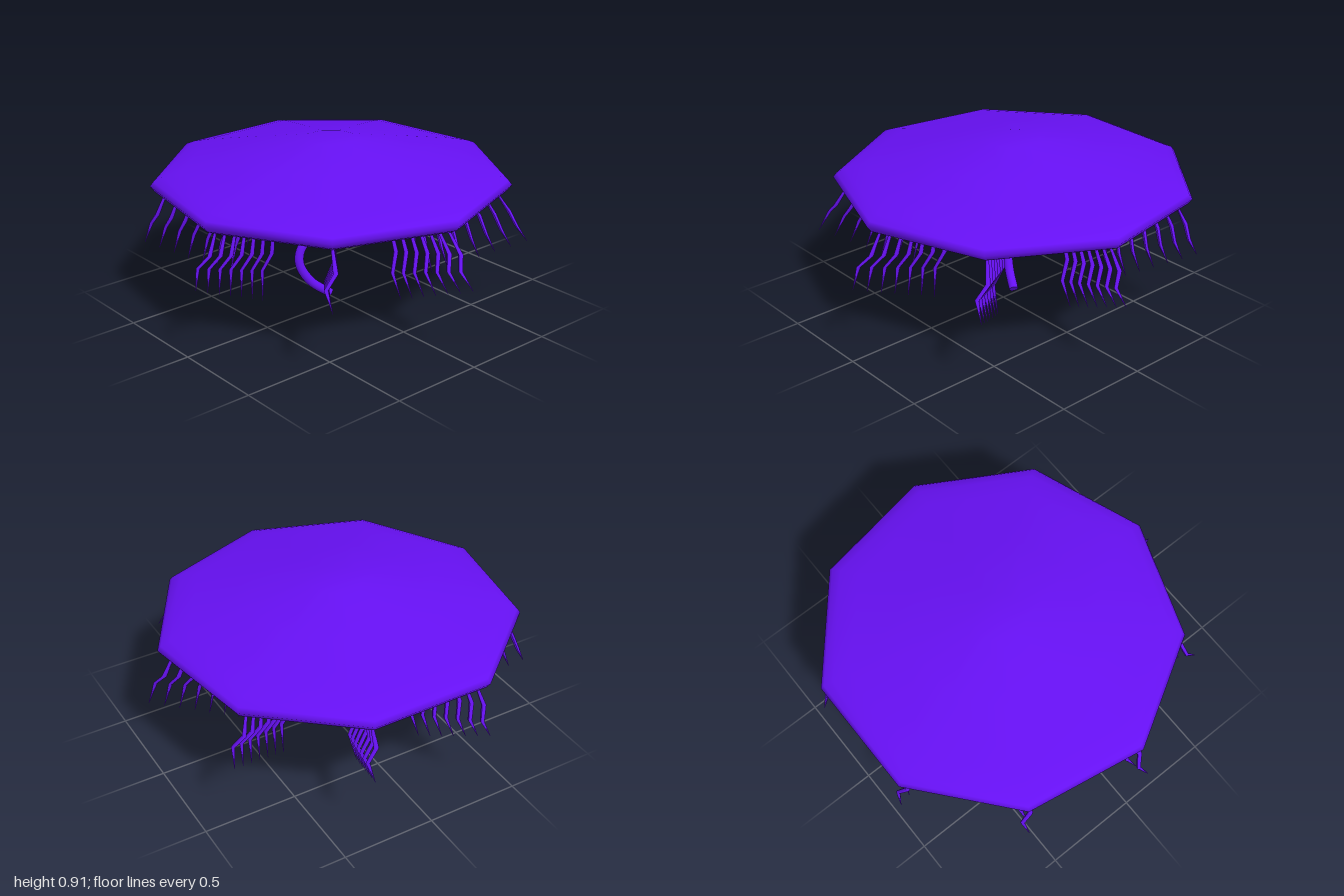
import * as THREE from 'three';

const material = new THREE.MeshStandardMaterial({ color: 0x6610f2 });
const SIDES = 9;
const CENTER_X = -0.075;

function add(parent, name, geometry) {
  const mesh = new THREE.Mesh(geometry, material);
  mesh.name = name;
  parent.add(mesh);
  return mesh;
}

// Thin kinked strand: each ring of a cylinder is moved to a joint and scaled to its radius
function strandGeometry(joints, radii) {
  const n = joints.length - 1;
  const geometry = new THREE.CylinderGeometry(1, 1, n, 6, n);
  const pos = geometry.attributes.position;
  for (let i = 0; i < pos.count; i++) {
    const k = Math.round(n / 2 - pos.getY(i));
    const [x, y, z] = joints[k];
    pos.setXYZ(i, x + pos.getX(i) * radii[k], y, z + pos.getZ(i) * radii[k]);
  }
  geometry.computeVertexNormals();
  return geometry;
}

// Nine-sided lens-shaped cap
function capGeometry() {
  const profile = [
    [0, 0.57], [0.3, 0.572], [0.56, 0.593], [0.77, 0.63], [0.87, 0.656], [0.925, 0.684],
    [0.948, 0.715], [0.93, 0.738], [0.88, 0.76], [0.78, 0.787], [0.46, 0.855], [0.138, 0.92], [0, 0.92],
  ].map(([r, y]) => new THREE.Vector2(r, y));
  return new THREE.LatheGeometry(profile, SIDES, Math.PI / 2);
}

// Curved central stalk with closed ends
function addStalk(parent) {
  const points = [
    [-0.06, 0.59, -0.03], [-0.08, 0.54, -0.047], [-0.115, 0.48, -0.03], [-0.15, 0.39, 0.05],
    [-0.17, 0.29, 0.135], [-0.163, 0.21, 0.148], [-0.13, 0.11, 0.1], [-0.08, 0.03, 0.005],
  ].map(p => new THREE.Vector3(...p));
  const curve = new THREE.CatmullRomCurve3(points);
  const stalk = new THREE.Group();
  stalk.name = 'stalk';
  add(stalk, 'stalkTube', new THREE.TubeGeometry(curve, 48, 0.025, 14));
  for (const t of [0, 1]) {
    const end = add(stalk, 'stalkEnd', new THREE.CircleGeometry(0.025, 14));
    end.position.copy(curve.getPoint(t));
    const outward = curve.getTangent(t).multiplyScalar(t ? 1 : -1);
    end.quaternion.setFromUnitVectors(new THREE.Vector3(0, 0, 1), outward);
  }
  parent.add(stalk);
}

export function createModel() {
  const model = new THREE.Group();
  model.name = 'floatingCap';

  add(model, 'cap', capGeometry()).position.x = CENTER_X;
  addStalk(model);

  // One radial row of tentacles below each corner, shorter and more splayed towards the rim
  const radii = [0.008, 0.013, 0.011, 0.001];
  for (let s = 0; s < SIDES; s++) {
    const angle = (s / SIDES) * Math.PI * 2;
    const row = new THREE.Group();
    row.name = 'tentacleRow';
    row.position.x = CENTER_X;
    row.rotation.y = -angle;
    for (let i = 0; i < 7; i++) {
      const t = i / 6;
      const r = THREE.MathUtils.lerp(0.45, 0.87, t);
      const top = THREE.MathUtils.lerp(0.595, 0.667, t);
      const drop = THREE.MathUtils.lerp(0.41, 0.26, t);
      const out = THREE.MathUtils.lerp(0.1, 0.14, t) + 0.04 * t * Math.cos(angle);
      const joints = [
        [r, top, 0],
        [r + out * 0.4, top - drop * 0.4, -0.015],
        [r + out * 0.66, top - drop * 0.64, 0.03],
        [r + out, top - drop, 0],
      ];
      add(row, 'tentacle', strandGeometry(joints, radii));
    }
    model.add(row);
  }
  return model;
}
